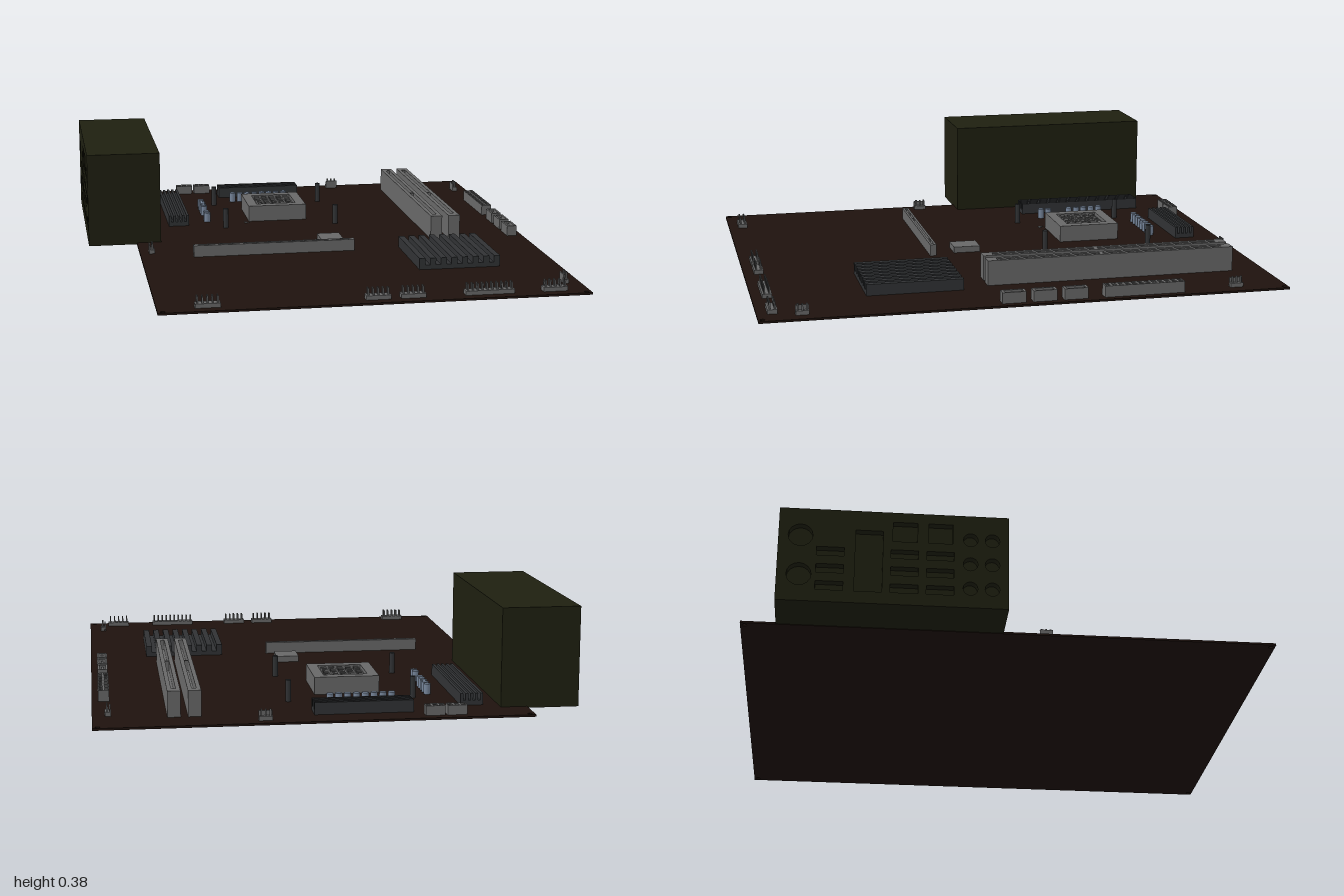
import * as THREE from 'three';

const material = (color) => new THREE.MeshStandardMaterial({ color });
const boardMat = material(0x1e120d);
const portMat = material(0x1e1f10);
const greyMat = material(0x686868);
const darkMat = material(0x303234);
const capMat = material(0x76859a);
const TOP = 0.008; // upper surface of the board

function add(parent, name, geometry, mat, x = 0, y = 0, z = 0) {
  const mesh = new THREE.Mesh(geometry, mat);
  mesh.name = name;
  mesh.position.set(x, y, z);
  parent.add(mesh);
  return mesh;
}

// Box given by its extents
function box(parent, name, mat, x0, x1, y0, y1, z0, z1) {
  return add(parent, name, new THREE.BoxGeometry(x1 - x0, y1 - y0, z1 - z0), mat,
    (x0 + x1) / 2, (y0 + y1) / 2, (z0 + z1) / 2);
}

function rectangle(path, x0, x1, y0, y1) {
  path.moveTo(x0, y0);
  path.lineTo(x1, y0);
  path.lineTo(x1, y1);
  path.lineTo(x0, y1);
  path.closePath();
  return path;
}
const rectHole = (x0, x1, y0, y1) => rectangle(new THREE.Path(), x0, x1, y0, y1);
const roundHole = (x, y, r) => new THREE.Path().absarc(x, y, r, 0, Math.PI * 2, true);

function plate(x0, x1, y0, y1, depth, holes) {
  const shape = rectangle(new THREE.Shape(), x0, x1, y0, y1);
  shape.holes.push(...holes);
  return new THREE.ExtrudeGeometry(shape, { depth, bevelEnabled: false, curveSegments: 8 });
}
// Plate lying flat; shape y becomes -z
const flatPlate = (...args) => plate(...args).rotateX(-Math.PI / 2);

function group(parent, name, x = 0, z = 0) {
  const g = new THREE.Group();
  g.name = name;
  g.position.set(x, TOP, z);
  parent.add(g);
  return g;
}

// Long socket with grooves along x: solid foot and an open rim
function slot(parent, name, x, z, length, width, height, grooves) {
  const g = group(parent, name, x, z);
  const foot = height * 0.6;
  box(g, 'slotFoot', greyMat, -length / 2, length / 2, 0, foot, -width / 2, width / 2);
  const holes = grooves.map(([a, b]) => rectHole(a, b, -width * 0.17, width * 0.17));
  add(g, 'slotRim', flatPlate(-length / 2, length / 2, -width / 2, width / 2, height - foot, holes),
    greyMat, 0, foot, 0);
  return g;
}

// Heat sink: base with fins along z
function heatSink(parent, name, x, z, width, length, height, fins) {
  const g = group(parent, name, x, z);
  box(g, 'sinkBase', darkMat, -width / 2, width / 2, 0, height * 0.4, -length / 2, length / 2);
  const pitch = width / (fins - 0.45), t = pitch * 0.55;
  for (let i = 0; i < fins; i++) {
    const a = -width / 2 + i * pitch;
    box(g, 'fin', darkMat, a, a + t, height * 0.4, height, -length / 2, length / 2);
  }
  return g;
}

// Pin header: low base with upright square pins
function pinHeader(parent, x, z, columns, rows, pitch = 0.0185) {
  const g = group(parent, 'pinHeader', x, z);
  const w = columns * pitch / 2, d = rows * pitch / 2;
  box(g, 'headerBase', greyMat, -w, w, 0, 0.016, -d, d);
  for (let i = 0; i < columns; i++) {
    for (let j = 0; j < rows; j++) {
      add(g, 'pin', new THREE.BoxGeometry(0.006, 0.028, 0.006), greyMat,
        (i + 0.5) * pitch - w, 0.028, (j + 0.5) * pitch - d);
    }
  }
}

// Power socket: block with a grid of square cavities
function powerSocket(parent, x, z, columns, rows, pitchX, pitchZ, height) {
  const g = group(parent, 'powerSocket', x, z);
  const w = columns * pitchX / 2, d = rows * pitchZ / 2, holes = [];
  for (let i = 0; i < columns; i++) {
    for (let j = 0; j < rows; j++) {
      const cx = (i + 0.5) * pitchX - w, cy = (j + 0.5) * pitchZ - d;
      holes.push(rectHole(cx - pitchX * 0.32, cx + pitchX * 0.32, cy - pitchZ * 0.32, cy + pitchZ * 0.32));
    }
  }
  box(g, 'socketFloor', greyMat, -w, w, 0, 0.015, -d, d);
  add(g, 'socketShell', flatPlate(-w, w, -d, d, height - 0.015, holes), greyMat, 0, 0.015, 0);
}

export function createModel() {
  const model = new THREE.Group();
  model.name = 'circuitBoard';

  // Board with corner mounting holes
  const corners = [];
  for (const x of [-0.686, 0.874]) for (const y of [-0.984, 0.984]) corners.push(roundHole(x, y, 0.009));
  add(model, 'board', flatPlate(-0.705, 0.893, -1, 1, TOP, corners), boardMat);

  // Rear port block; its panel of openings faces -x
  const ports = group(model, 'portBlock');
  ports.position.y = 0;
  box(ports, 'portBody', portMat, -0.87, -0.605, 0.002, 0.38, -0.87, -0.03);
  const openings = [];
  for (const y of [0.11, 0.27]) openings.push(roundHole(-0.79, y, 0.045));
  for (const z of [-0.68, -0.41, -0.28]) {
    for (const y of [0.05, 0.12, 0.19]) openings.push(rectHole(z - 0.05, z + 0.05, y, y + 0.035));
  }
  openings.push(rectHole(-0.59, -0.49, 0.05, 0.3));
  for (const z of [-0.41, -0.28]) openings.push(rectHole(z - 0.045, z + 0.045, 0.26, 0.34));
  for (const z of [-0.17, -0.09]) {
    for (const y of [0.08, 0.18, 0.28]) openings.push(roundHole(z, y, 0.027));
  }
  add(ports, 'portPanel', plate(-0.87, -0.03, 0.002, 0.38, 0.03, openings).rotateY(-Math.PI / 2),
    portMat, -0.87, 0, 0);

  // Processor socket with a recessed contact field
  const cpu = group(model, 'processorSocket', -0.075, -0.455);
  box(cpu, 'socketBase', greyMat, -0.125, 0.125, 0, 0.052, -0.125, 0.125);
  add(cpu, 'socketFrame', flatPlate(-0.125, 0.125, -0.125, 0.125, 0.015,
    [rectHole(-0.085, 0.085, -0.085, 0.085)]), greyMat, 0, 0.052, 0);
  for (let i = -2; i <= 2; i++) {
    for (let j = -2; j <= 2; j++) {
      add(cpu, 'contact', new THREE.BoxGeometry(0.02, 0.012, 0.02), greyMat, i * 0.032, 0.058, j * 0.032);
    }
  }
  const corner = new THREE.Shape([[0, 0], [0.022, 0], [0, 0.022]].map(([x, y]) => new THREE.Vector2(x, y)));
  add(cpu, 'cornerMark', new THREE.ExtrudeGeometry(corner, { depth: 0.002, bevelEnabled: false })
    .rotateX(-Math.PI / 2), greyMat, -0.147, 0, 0.15);
  for (const x of [-0.237, 0.237]) {
    for (const z of [-0.22, 0.22]) {
      add(cpu, 'coolerPost', new THREE.CylinderGeometry(0.011, 0.011, 0.083, 12), darkMat, x, 0.0415, z);
    }
  }

  // Heat sinks
  heatSink(model, 'sideHeatSink', -0.506, -0.56, 0.085, 0.53, 0.045, 5);
  heatSink(model, 'backHeatSink', -0.09, -0.86, 0.08, 0.365, 0.045, 5).rotation.y = Math.PI / 2;
  heatSink(model, 'chipsetHeatSink', 0.5, 0.395, 0.32, 0.37, 0.044, 8);

  // Memory slots and expansion slot
  for (const x of [0.524, 0.599]) {
    slot(model, 'memorySlot', x, -0.38, 0.98, 0.048, 0.097,
      [[-0.45, -0.045], [-0.03, 0.45]]).rotation.y = Math.PI / 2;
  }
  slot(model, 'expansionSlot', -0.173, 0.228, 0.65, 0.026, 0.046,
    [[-0.305, -0.24], [-0.225, -0.14], [-0.125, 0.22], [0.235, 0.305]]);

  // Small chip
  box(model, 'chip', greyMat, 0.035, 0.127, TOP, 0.032, 0.03, 0.138);

  // Capacitors beside the processor
  const capacitor = new THREE.CylinderGeometry(0.0135, 0.0135, 0.04, 16);
  for (let i = 0; i < 8; i++) add(model, 'capacitor', capacitor, capMat, -0.22 + i * 0.0333, TOP + 0.02, -0.735);
  for (const z of [-0.62, -0.585, -0.552, -0.518, -0.485, -0.39, -0.358]) {
    add(model, 'capacitor', capacitor, capMat, -0.378, TOP + 0.02, z);
  }

  // Power sockets
  for (const x of [-0.421, -0.341]) powerSocket(model, x, -0.945, 3, 2, 0.024, 0.02, 0.036);
  powerSocket(model, 0.848, -0.435, 2, 12, 0.021, 0.0258, 0.043);

  // Drive connectors
  for (const z of [-0.17, -0.052, 0.065]) {
    const drive = group(model, 'driveConnector', 0.848, z);
    box(drive, 'connectorFloor', greyMat, -0.02, 0.02, 0, 0.012, -0.045, 0.045);
    add(drive, 'connectorShell', flatPlate(-0.02, 0.02, -0.045, 0.045, 0.03,
      [rectHole(-0.012, 0.012, -0.036, 0.036)]), greyMat, 0, 0.012, 0);
    box(drive, 'connectorTongue', greyMat, -0.004, 0.003, 0.012, 0.036, -0.028, 0.028);
  }

  // Front-edge headers
  for (const [x, columns] of [[-0.523, 5], [0.098, 5], [0.228, 5], [0.515, 10], [0.764, 5]]) {
    pinHeader(model, x, 0.942, columns, 2);
  }
  // Fan headers with a rear guide wall
  for (const [x, z, turn] of [[0.838, -0.805, 0], [0.838, 0.838, 0], [-0.655, 0.135, 0], [0.276, -0.955, 1]]) {
    pinHeader(model, x, z, turn ? 3 : 1, turn ? 1 : 3, 0.0165);
    const [w, d] = turn ? [0.05, 0.005] : [0.005, 0.05];
    add(model, 'headerGuide', new THREE.BoxGeometry(w, 0.034, d), greyMat,
      x - (turn ? 0 : 0.011), TOP + 0.017, z + (turn ? 0.011 : 0));
  }

  return model;
}
